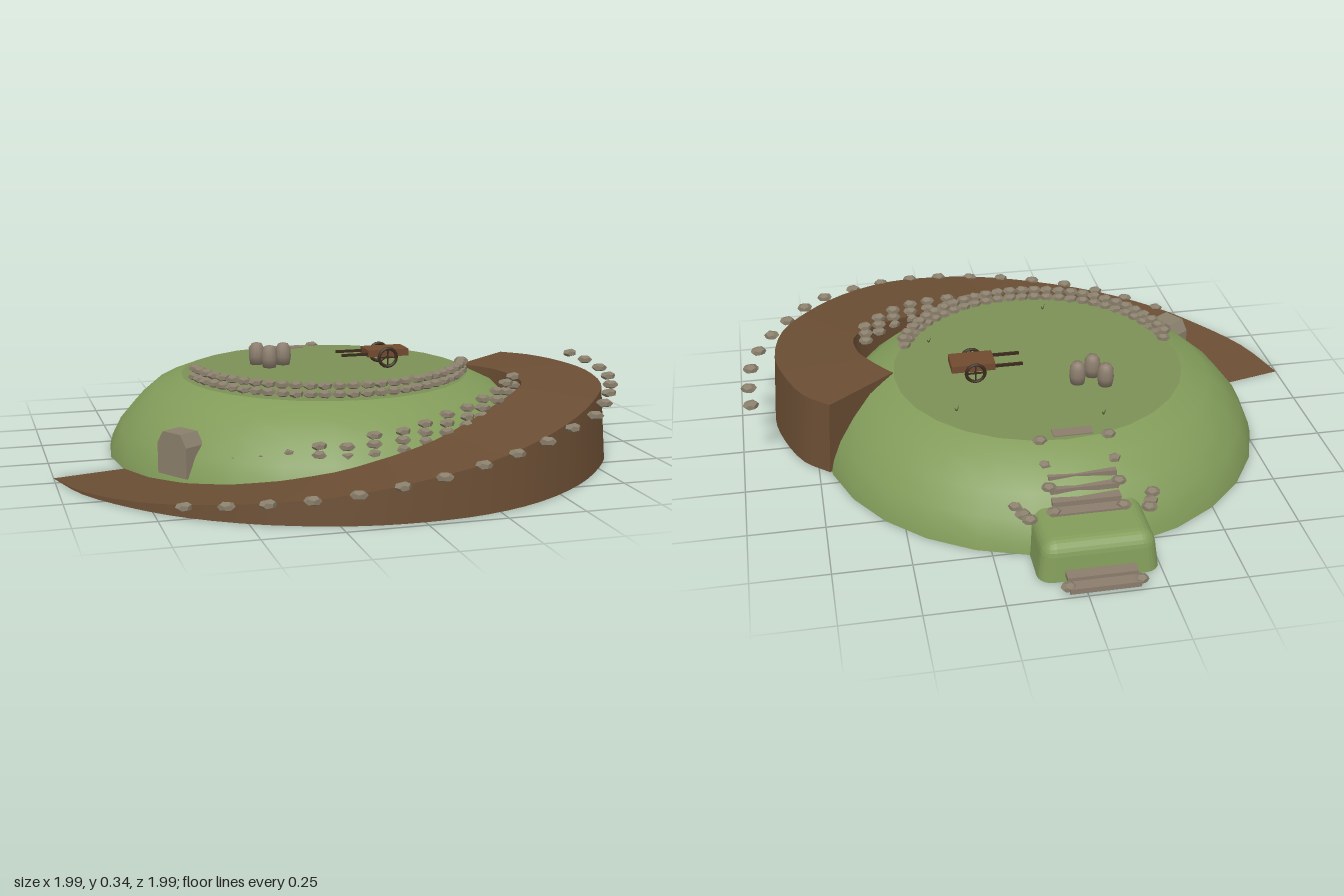
import * as THREE from 'three';
import { toCreasedNormals } from 'three/addons/utils/BufferGeometryUtils.js';
import { RoundedBoxGeometry } from 'three/addons/geometries/RoundedBoxGeometry.js';

const mat = (name, color) => {
  const m = new THREE.MeshStandardMaterial({ color });
  m.name = name;
  return m;
};

export function createModel() {
  const root = new THREE.Group();
  root.name = 'hillfort';
  const grass = mat('grass green', 0x829c5a);
  const meadow = mat('meadow green', 0x7c9056);
  const earth = mat('earth brown', 0x6b4e34);
  const stone = mat('stone grey', 0x8a7f6c);
  stone.flatShading = true;
  const slab = mat('slab grey', 0x8b7d6d);
  const wood = mat('wood brown', 0x704a30);
  const darkWood = mat('dark wood', 0x3a2a1c);
  const sprig = mat('sprig green', 0x44582c);

  const add = (name, geo, m, x = 0, y = 0, z = 0, parent = root) => {
    const mesh = new THREE.Mesh(geo, m);
    mesh.name = name;
    mesh.position.set(x, y, z);
    parent.add(mesh);
    return mesh;
  };
  const group = (name) => {
    const g = new THREE.Group();
    g.name = name;
    root.add(g);
    return g;
  };
  const CX = -0.03, CZ = -0.03;

  // Mound: domed flank, flat top and base
  const profile = [[0, 0], [0.755, 0], [0.745, 0.04], [0.715, 0.1], [0.66, 0.165], [0.59, 0.225], [0.5, 0.26]];
  const flank = new THREE.LatheGeometry(profile.map(p => new THREE.Vector2(...p)), 28);
  add('mound', toCreasedNormals(flank, 0.7), grass, CX, 0, CZ);
  const top = new THREE.CircleGeometry(0.5, 28).rotateX(-Math.PI / 2);
  add('plateau', top, meadow, CX, 0.26, CZ);

  // Spiral ramp: outer x, y, z, then inner x, z for each cross-section
  const sections = [
    [-1, 0.002, 0.2, -0.75, 0.14], [-0.93, 0.01, 0.41, -0.7, 0.3], [-0.8, 0.022, 0.6, -0.6, 0.44],
    [-0.66, 0.04, 0.74, -0.47, 0.55], [-0.45, 0.065, 0.87, -0.31, 0.63], [-0.2, 0.095, 0.95, -0.14, 0.665],
    [0, 0.125, 0.965, 0, 0.67], [0.2, 0.155, 0.94, 0.14, 0.64], [0.4, 0.19, 0.86, 0.29, 0.56],
    [0.59, 0.22, 0.72, 0.42, 0.47], [0.74, 0.24, 0.55, 0.52, 0.385], [0.83, 0.25, 0.4, 0.58, 0.3],
    [0.865, 0.258, 0.2, 0.575, 0.18], [0.84, 0.262, 0.05, 0.545, 0.11], [0.78, 0.262, -0.1, 0.5, 0.04],
    [0.7, 0.262, -0.18, 0.47, 0]];
  const outer = new THREE.CatmullRomCurve3(sections.map(s => new THREE.Vector3(s[0], s[1], s[2])));
  const inner = new THREE.CatmullRomCurve3(sections.map(s => new THREE.Vector3(s[3], s[1], s[4])));
  const pos = [], idx = [], N = 45;
  for (let i = 0; i <= N; i++) {
    const o = outer.getPoint(i / N), n = inner.getPoint(i / N), k = 1 + 0.08 * o.y;
    pos.push(n.x, n.y, n.z, o.x, o.y, o.z, o.x * k, 0.001, o.z * k, n.x, 0.001, n.z);
    if (i === N) break;
    for (let j = 0; j < 4; j++) {
      const a = i * 4 + j, b = i * 4 + (j + 1) % 4;
      idx.push(a, b, a + 4, b, b + 4, a + 4);
    }
  }
  const e = N * 4;
  idx.push(0, 3, 2, 0, 2, 1, e, e + 1, e + 2, e, e + 2, e + 3);
  const ramp = new THREE.BufferGeometry();
  ramp.setAttribute('position', new THREE.Float32BufferAttribute(pos, 3));
  ramp.setIndex(idx);
  add('ramp', toCreasedNormals(ramp, 0.6), earth);

  // Loose stones, turned slightly differently each time
  const pebble = new THREE.DodecahedronGeometry(1, 0);
  let count = 0;
  const addStone = (parent, x, y, z, s = 1) => {
    const m = add('stone', pebble, stone, x, y, z, parent);
    m.scale.set(0.028 * s, 0.015 * s, 0.025 * s);
    m.rotation.y = Math.sin(++count * 2.4) * 0.5;
  };

  // Kerb stones along the outer ramp edge
  const kerb = group('rampKerb');
  const kerbPts = [[-0.67, 0.74, 0.035], [-0.56, 0.82, 0.05], [-0.45, 0.88, 0.065], [-0.33, 0.93, 0.08],
    [-0.2, 0.96, 0.095], [-0.07, 0.97, 0.113], [0.06, 0.965, 0.13], [0.19, 0.945, 0.152], [0.31, 0.91, 0.17],
    [0.43, 0.86, 0.187], [0.545, 0.79, 0.205], [0.66, 0.71, 0.22], [0.74, 0.61, 0.233], [0.81, 0.5, 0.24],
    [0.87, 0.39, 0.243], [0.92, 0.27, 0.247], [0.95, 0.14, 0.25], [0.96, 0, 0.253], [0.955, -0.12, 0.256]];
  kerbPts.forEach(([x, z, y]) => addStone(kerb, x, y, z));

  // Dry stone stacks along the inner ramp edge
  const stacks = group('innerRampWall');
  const stackPts = [[-0.47, 0.51, 0.11, 0.4], [-0.39, 0.55, 0.12, 0.5], [-0.31, 0.58, 0.135, 0.8], [-0.225, 0.62, 0.13],
    [-0.14, 0.635, 0.125], [-0.055, 0.645, 0.13], [0.04, 0.64, 0.135], [0.12, 0.62, 0.15], [0.2, 0.6, 0.17],
    [0.28, 0.57, 0.18], [0.35, 0.525, 0.195], [0.42, 0.47, 0.205], [0.48, 0.4, 0.215], [0.535, 0.33, 0.22]];
  stackPts.forEach(([x, z, y, s = 0.95], i) => {
    const layers = i < 3 ? 1 : i < 5 ? 2 : 3;
    for (let k = 0; k < layers; k++) addStone(stacks, x, y + k * 0.029, z, s);
  });

  // Two-course wall on the plateau rim
  const wall = group('rimWall');
  for (let i = 0; i < 28; i++) {
    const a = THREE.MathUtils.degToRad(172 - i * 150 / 27);
    for (let k = 0; k < 2; k++) {
      addStone(wall, CX + 0.477 * Math.cos(a), 0.28 + k * 0.028, -0.02 + 0.477 * Math.sin(a), 0.92);
    }
  }

  // Rear porch: soft tapered block
  const porch = new RoundedBoxGeometry(0.37, 0.2, 0.28, 3, 0.045);
  const p = porch.attributes.position;
  for (let i = 0; i < p.count; i++) {
    const y = Math.max(0, p.getY(i) + 0.03), t = 1.03 - y * 0.7;
    p.setXYZ(i, p.getX(i) * t, y, p.getZ(i) * t);
  }
  porch.computeVertexNormals();
  add('rearPorch', porch, grass, -0.055, 0, -0.775);

  // Rear steps with end stones
  const steps = group('rearSteps');
  const plank = (z, y, w = 0.22) => add('step', new THREE.BoxGeometry(w, 0.018, 0.042), slab, -0.055, y, z, steps);
  [[-0.975, 0.018], [-0.935, 0.03], [-0.74, 0.128], [-0.7, 0.145], [-0.665, 0.17], [-0.63, 0.195]]
    .forEach(([z, y]) => plank(z, y));
  plank(-0.49, 0.255, 0.13);
  [[-0.975, 0.024], [-0.745, 0.138], [-0.67, 0.18], [-0.6, 0.22], [-0.52, 0.26]].forEach(([z, y]) => {
    for (const s of [-1, 1]) addStone(steps, -0.055 + s * 0.112, y, z, 0.9);
  });
  for (const s of [-1, 1]) {
    [[0.19, -0.76, 0.13], [0.205, -0.72, 0.125], [0.22, -0.68, 0.13]]
      .forEach(([x, z, y]) => addStone(steps, -0.055 + s * x, y, z, 0.95));
  }

  // Arched doorway stone on the left-hand flank
  const arch = new THREE.Shape();
  arch.moveTo(-0.065, 0);
  arch.lineTo(0.065, 0);
  arch.lineTo(0.065, 0.1);
  arch.lineTo(0.04, 0.14);
  arch.lineTo(-0.04, 0.14);
  arch.lineTo(-0.065, 0.1);
  const door = add('doorStone', new THREE.ExtrudeGeometry(arch, { depth: 0.075, bevelEnabled: false }).translate(0, 0, -0.0375),
    stone, -0.615, 0.035, 0.375);
  door.rotation.y = Math.atan2(-0.83, 0.55);

  // Three storage jars
  const jar = new THREE.LatheGeometry([[0, 0], [0.024, 0], [0.029, 0.03], [0.027, 0.058], [0.018, 0.075], [0, 0.08]]
    .map(q => new THREE.Vector2(...q)), 12);
  [[-0.23, -0.21], [-0.2, -0.14], [-0.14, -0.18]].forEach(([x, z]) => add('jar', jar, slab, x, 0.26, z));

  // Hand cart
  const cart = group('cart');
  cart.position.set(0.2, 0.26, -0.065);
  add('cartBed', new THREE.BoxGeometry(0.15, 0.025, 0.095), wood, 0.005, 0.052, 0, cart);
  add('axle', new THREE.CylinderGeometry(0.005, 0.005, 0.12, 6).rotateX(Math.PI / 2), darkWood, 0, 0.038, 0, cart);
  for (const s of [-1, 1]) {
    add('wheel', new THREE.TorusGeometry(0.032, 0.006, 6, 16), darkWood, 0, 0.038, s * 0.056, cart);
    for (let k = 0; k < 2; k++) {
      const spoke = add('spoke', new THREE.BoxGeometry(0.06, 0.005, 0.005), darkWood, 0, 0.038, s * 0.056, cart);
      spoke.rotation.z = k * Math.PI / 2;
    }
    add('handle', new THREE.BoxGeometry(0.11, 0.009, 0.009), darkWood, -0.11, 0.05, s * 0.038, cart);
  }

  // Grass sprigs: small leaning blades
  const blade = new THREE.ConeGeometry(0.003, 0.022, 4).translate(0, 0.011, 0);
  [[-0.18, -0.4], [0.29, -0.29], [0.32, 0.2], [-0.13, 0.38]].forEach(([x, z]) => {
    for (const s of [-1, 1]) add('sprig', blade, sprig, x, 0.258, z).rotation.set(s * 0.4, 0, s * 0.4);
  });
  return root;
}
